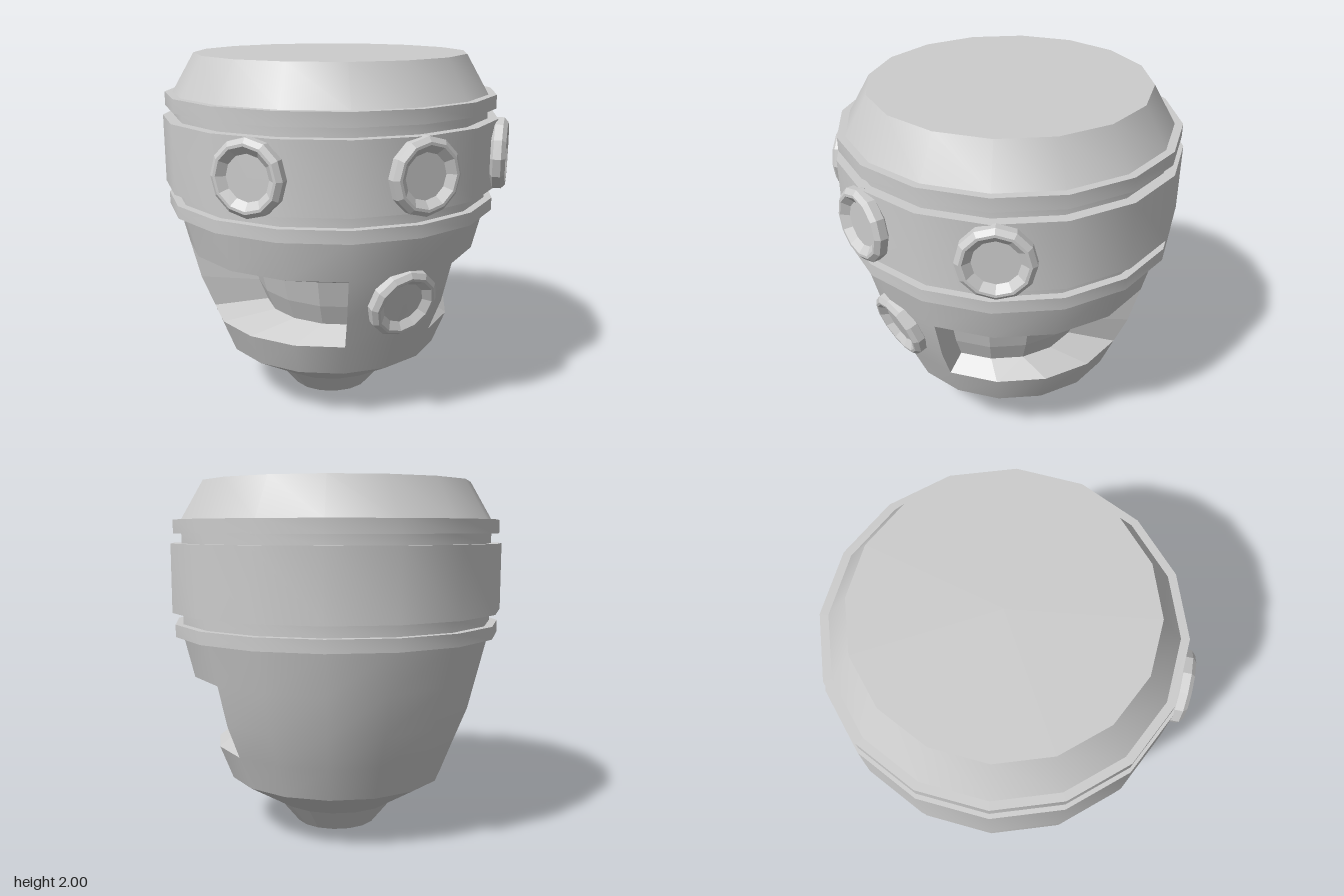
import * as THREE from 'three';
import { toCreasedNormals } from 'three/addons/utils/BufferGeometryUtils.js';

const SIDES = 16;
const CENTER_Z = -0.025;
const smooth = new THREE.MeshStandardMaterial({ color: 0xcccccc });
const flat = new THREE.MeshStandardMaterial({ color: 0xcccccc, flatShading: true });

function addMesh(parent, name, geometry, material) {
  const mesh = new THREE.Mesh(geometry, material);
  mesh.name = name;
  parent.add(mesh);
  return mesh;
}

function lathe(profile, sides) {
  return new THREE.LatheGeometry(profile.map(([r, y]) => new THREE.Vector2(r, y)), sides);
}

// Collects four-cornered faces (counter-clockwise) into a geometry
function quadGeometry(quads) {
  const points = quads.flatMap(([a, b, c, d]) => [a, b, c, a, c, d]);
  const geometry = new THREE.BufferGeometry().setFromPoints(points);
  geometry.computeVertexNormals();
  return geometry;
}

// Lower wall rings, bottom to top: [radius, height]
const RINGS = [[0.63, 0.305], [0.705, 0.495], [0.78, 0.68], [0.838, 0.91], [0.895, 1.14]];
const LOW = 1, HIGH = 3;

// Side openings span four facets each; the recess is the opening shrunk and shifted inward
const OPENINGS = [
  { name: 'leftRecess', start: 1, shift: new THREE.Vector3(0.077, 0.2585, 0.136) },
  { name: 'rightRecess', start: 11, shift: new THREE.Vector3(0.013, 0.2535, 0.15) },
];
const SPAN = 4, SHRINK = 0.65;

function wallPoint(row, i) {
  const [r, y] = RINGS[row];
  const a = ((i % SIDES) / SIDES) * Math.PI * 2;
  return new THREE.Vector3(r * Math.sin(a), y, r * Math.cos(a));
}

function lowerWall() {
  const quads = [];
  for (let row = 0; row < RINGS.length - 1; row++) {
    for (let i = 0; i < SIDES; i++) {
      const open = row >= LOW && row < HIGH &&
        OPENINGS.some(({ start }) => i >= start && i < start + SPAN);
      if (open) continue;
      quads.push([wallPoint(row, i), wallPoint(row, i + 1), wallPoint(row + 1, i + 1), wallPoint(row + 1, i)]);
    }
  }
  return toCreasedNormals(quadGeometry(quads), 0.6);
}

function recess({ start, shift }) {
  const out = wallPoint;
  const inn = (row, i) => wallPoint(row, i).multiplyScalar(SHRINK).add(shift);
  const end = start + SPAN;
  const quads = [];
  for (let i = start; i < end; i++) {
    // ceiling and floor
    quads.push([inn(HIGH, i), inn(HIGH, i + 1), out(HIGH, i + 1), out(HIGH, i)]);
    quads.push([out(LOW, i), out(LOW, i + 1), inn(LOW, i + 1), inn(LOW, i)]);
    // rear panel
    for (let row = LOW; row < HIGH; row++) {
      quads.push([inn(row, i), inn(row, i + 1), inn(row + 1, i + 1), inn(row + 1, i)]);
    }
  }
  // end walls
  for (let row = LOW; row < HIGH; row++) {
    quads.push([out(row, start), inn(row, start), inn(row + 1, start), out(row + 1, start)]);
    quads.push([inn(row, end), out(row, end), out(row + 1, end), inn(row + 1, end)]);
  }
  return quadGeometry(quads);
}

export function createModel() {
  const model = new THREE.Group();
  model.name = 'model';

  const body = new THREE.Group();
  body.name = 'body';
  body.position.z = CENTER_Z;
  model.add(body);

  // Upper body: two thin rings, a wide band and a bevelled flat top
  const upper = lathe([
    [0.895, 1.14], [0.94, 1.14], [0.94, 1.21], [0.895, 1.21], [0.895, 1.275],
    [0.955, 1.275], [0.955, 1.655], [0.895, 1.655], [0.895, 1.71],
    [0.94, 1.71], [0.94, 1.785], [0.895, 1.785], [0.77, 2], [0, 2],
  ], SIDES);
  addMesh(body, 'upperBody', toCreasedNormals(upper, 0.5), smooth);

  addMesh(body, 'lowerWall', lowerWall(), smooth);
  for (const opening of OPENINGS) addMesh(body, opening.name, recess(opening), flat);

  // Tapered base
  addMesh(body, 'base', lathe([[0, 0], [0.235, 0], [0.343, 0.133], [0.63, 0.305]], SIDES), flat);

  // Round dished ports; the local origin is the middle of the outer face
  const portGeometry = lathe([
    [0, -0.08], [0.18, -0.08], [0.2, -0.065], [0.2, -0.022],
    [0.175, 0], [0.16, 0], [0.12, -0.035], [0, -0.035],
  ], 12).rotateX(Math.PI / 2);
  const ports = [
    ['frontPort', [0, 1.46, 0.975], 0, 0],
    ['leftPort', [0.735, 1.46, 0.665], 47, 0],
    ['rightPort', [-0.805, 1.46, 0.58], -53, 0],
    ['lowerPort', [0, 0.737, 0.8], 0, 16.5],
  ];
  for (const [name, position, turn, tilt] of ports) {
    const port = addMesh(model, name, portGeometry, flat);
    port.position.set(...position);
    port.rotation.set(THREE.MathUtils.degToRad(tilt), THREE.MathUtils.degToRad(turn), 0);
  }
  return model;
}
